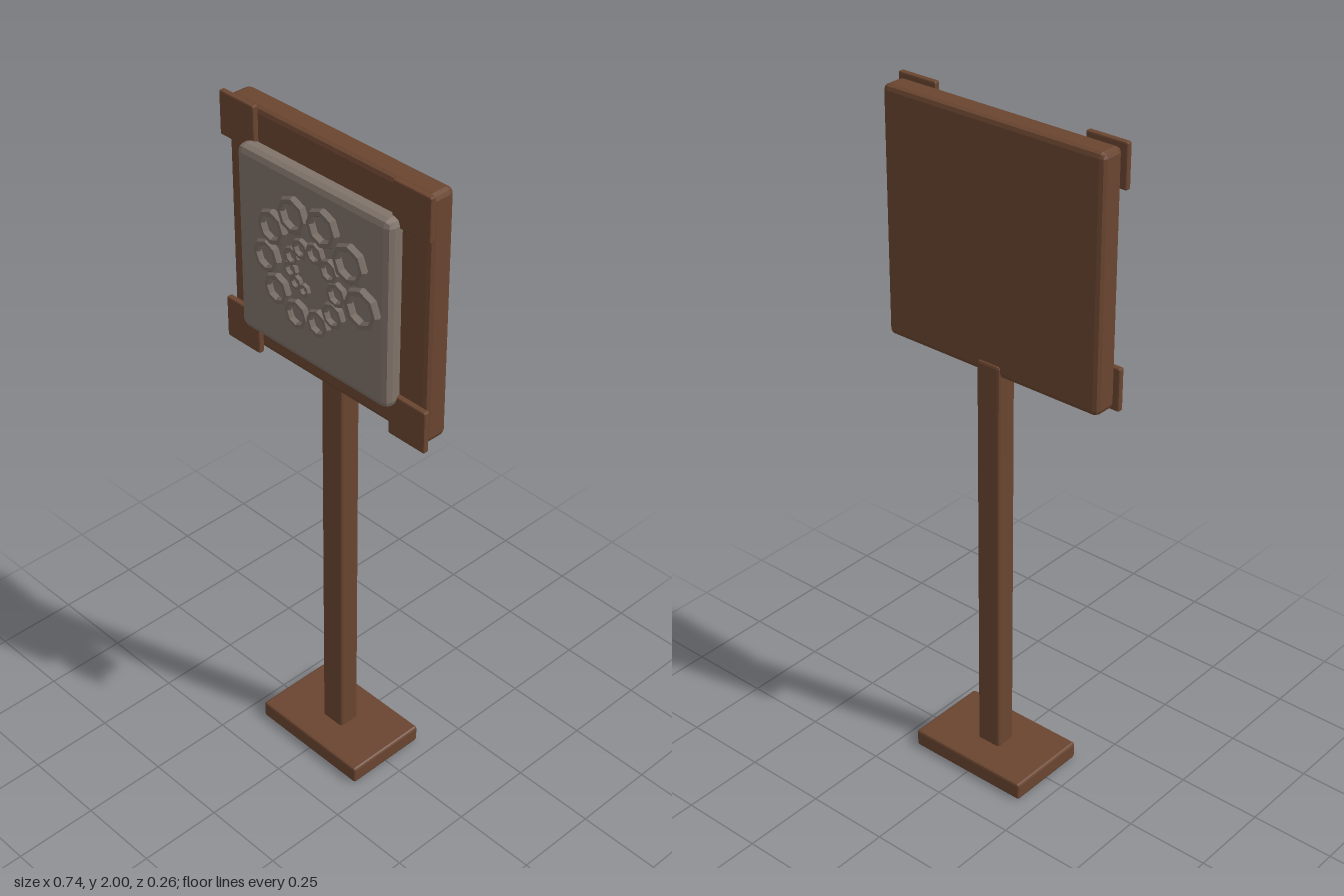
import * as THREE from 'three';
import { RoundedBoxGeometry } from 'three/addons/geometries/RoundedBoxGeometry.js';

const mat = (name, color) => Object.assign(new THREE.MeshStandardMaterial({ color, flatShading: true }), { name });

export function createModel() {
  const wood = mat('brown wood', 0x6a4530);
  const stone = mat('grey stone', 0x80736a);
  const carving = mat('dark carved stone', 0x756a62);
  const group = new THREE.Group();

  // Bevelled block given by its lowest and highest corner
  function block(name, material, [x0, y0, z0], [x1, y1, z1], bevel) {
    const geometry = new RoundedBoxGeometry(x1 - x0, y1 - y0, z1 - z0, 1, bevel);
    const mesh = new THREE.Mesh(geometry, material);
    mesh.position.set((x0 + x1) / 2, (y0 + y1) / 2, (z0 + z1) / 2);
    mesh.name = name;
    group.add(mesh);
  }

  // Stand
  block('base', wood, [-0.195, 0, -0.129], [0.195, 0.053, 0.129], 0.007);
  block('post', wood, [-0.039, 0.03, -0.033], [0.039, 1.31, 0.033], 0.008);

  // Sign board and the stone slab set on its front
  block('backBoard', wood, [-0.358, 1.275, -0.027], [0.358, 1.99, 0.048], 0.015);
  block('stoneSlab', stone, [-0.272, 1.362, 0.045], [0.272, 1.904, 0.102], 0.02);

  // Four thin corner plates
  for (const side of [-1, 1]) {
    const x = side * 0.3065;
    for (const y of [1.327, 1.938]) {
      block('cornerPlate', wood, [x - 0.0635, y - 0.062, 0.048], [x + 0.0635, y + 0.062, 0.066], 0.004);
    }
  }

  // Spiral of octagonal rings, shrinking towards the middle
  const spiral = new THREE.Group();
  spiral.name = 'ringSpiral';
  spiral.position.set(0, 1.635, 0.111);
  for (let i = 0; i < 18; i++) {
    const angle = (i * Math.PI) / 5;
    const radius = 0.193 - i * 0.0088;
    const outer = 0.061 - i * 0.00235;
    const tube = 0.0125 - i * 0.00035;
    const ring = new THREE.Mesh(new THREE.TorusGeometry(outer - tube, tube, 6, 8), carving);
    ring.position.set(Math.cos(angle) * radius, Math.sin(angle) * radius, 0);
    ring.name = 'ring';
    spiral.add(ring);
  }
  group.add(spiral);

  return group;
}
